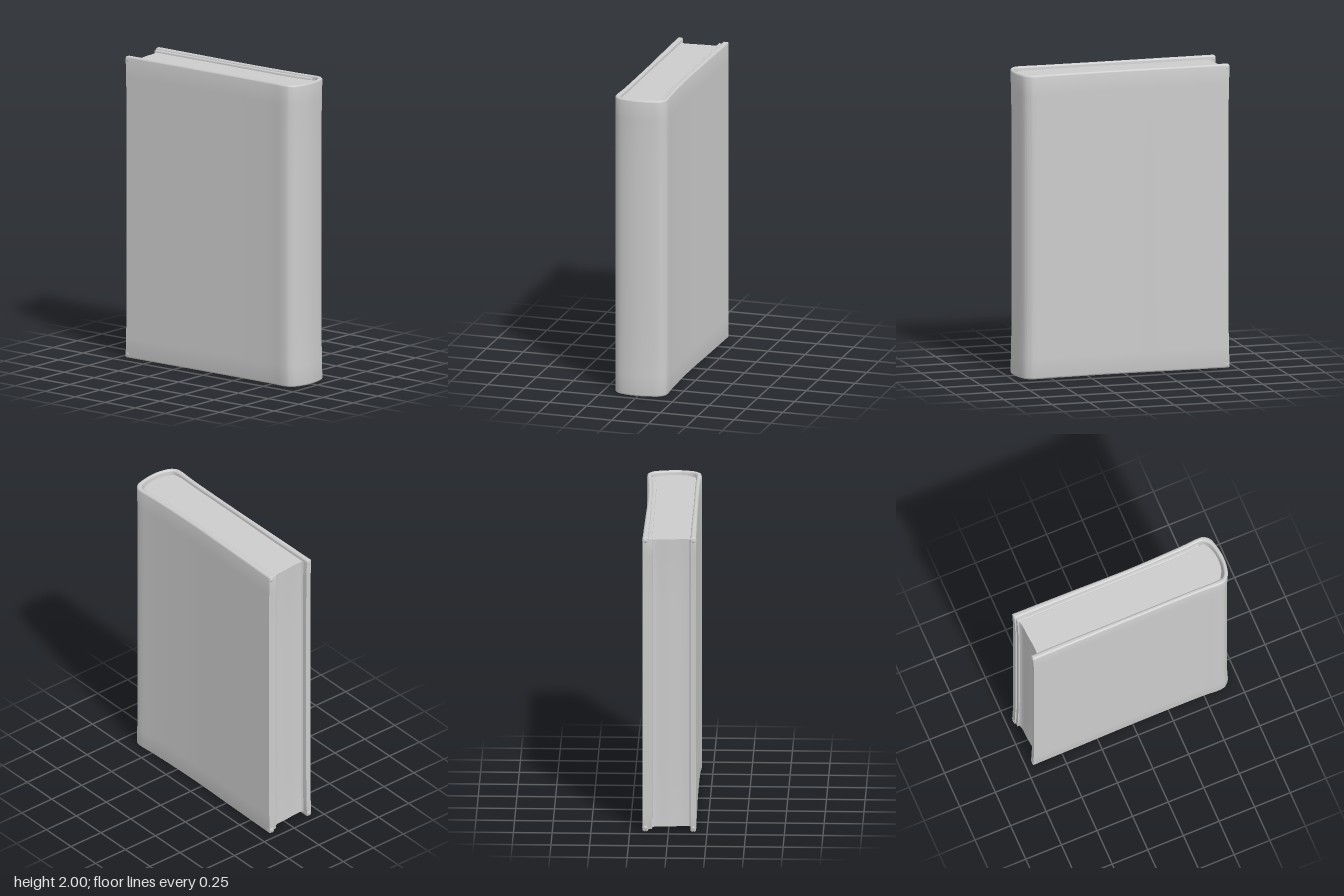
import * as THREE from 'three';
import { toCreasedNormals } from 'three/addons/utils/BufferGeometryUtils.js';

const material = new THREE.MeshStandardMaterial({ color: 0xcccccc });

// Plan outline given as [x, z] runs; each run is a smooth curve, runs join with straight lines.
function planShape(runs) {
  const shape = new THREE.Shape();
  runs.forEach((run, i) => {
    const pts = run.map(([x, z]) => new THREE.Vector2(x, -z));
    if (i === 0) shape.moveTo(pts[0].x, pts[0].y);
    else shape.lineTo(pts[0].x, pts[0].y);
    if (pts.length > 1) shape.splineThru(pts.slice(1));
  });
  return shape;
}

// Upright extrusion of a plan outline between two heights, with a rounded rim.
function upright(name, runs, y0, y1, bevel) {
  let geo = new THREE.ExtrudeGeometry(planShape(runs), {
    depth: y1 - y0 - 2 * bevel, steps: 16, curveSegments: 32,
    bevelEnabled: bevel > 0, bevelThickness: bevel, bevelSize: bevel,
    bevelOffset: -bevel, bevelSegments: 3,
  });
  geo.rotateX(-Math.PI / 2);
  geo.translate(0, y0 + bevel, 0);
  // Slight waist: the book draws in a little away from its top and bottom.
  const p = geo.attributes.position;
  for (let i = 0; i < p.count; i++) {
    const waist = 1 - Math.pow(Math.abs(p.getY(i) - 1), 6);
    p.setZ(i, p.getZ(i) * (1 - 0.012 * waist));
  }
  geo = toCreasedNormals(geo, 0.7);
  const mesh = new THREE.Mesh(geo, material);
  mesh.name = name;
  return mesh;
}

export function createModel() {
  const book = new THREE.Group();
  book.name = 'book';

  // Case: two boards joined by a rounded spine
  book.add(upright('cover', [
    [[0.168, -0.705], [0.163, -0.3], [0.158, 0.1], [0.167, 0.45], [0.176, 0.6],
      [0.165, 0.65], [0.12, 0.685], [0, 0.706], [-0.1, 0.695], [-0.155, 0.665],
      [-0.176, 0.61], [-0.17, 0.45], [-0.17, 0], [-0.175, -0.4], [-0.178, -0.705]],
    [[-0.143, -0.705], [-0.14, -0.4], [-0.142, 0], [-0.14, 0.4], [-0.142, 0.6],
      [-0.125, 0.655], [-0.06, 0.678], [0, 0.68], [0.09, 0.665], [0.135, 0.635],
      [0.147, 0.59], [0.138, 0.45], [0.13, 0.1], [0.13, -0.3], [0.13, -0.705]],
  ], 0, 2, 0.012));

  // Page block with a shallow hollow fore edge, set back inside the case
  book.add(upright('pages', [
    [[0.112, -0.68], [0.11, 0], [0.112, 0.4], [0.13, 0.6]],
    [[0.13, 0.625], [0.08, 0.655], [0, 0.67], [-0.08, 0.66], [-0.135, 0.625]],
    [[-0.145, 0.55], [-0.145, -0.675]],
    [[-0.135, -0.662], [-0.08, -0.662], [0, -0.67], [0.08, -0.675], [0.112, -0.69]],
  ], 0.025, 1.975, 0));

  // Endpaper leaf lying against the left board
  book.add(upright('endpaper', [
    [[0.136, -0.695], [0.134, 0], [0.138, 0.4], [0.15, 0.59]],
    [[0.125, 0.59], [0.111, 0.4], [0.109, 0], [0.105, -0.695]],
  ], 0.012, 1.988, 0.004));

  // Rolled corners at the fore edge of each board
  for (const [x, r] of [[0.149, 0.021], [-0.161, 0.02]]) {
    for (const y of [0.025, 1.975]) {
      const bump = new THREE.Mesh(new THREE.SphereGeometry(r, 16, 12), material);
      bump.position.set(x, y, -0.688);
      bump.name = 'boardCorner';
      book.add(bump);
    }
  }
  return book;
}
